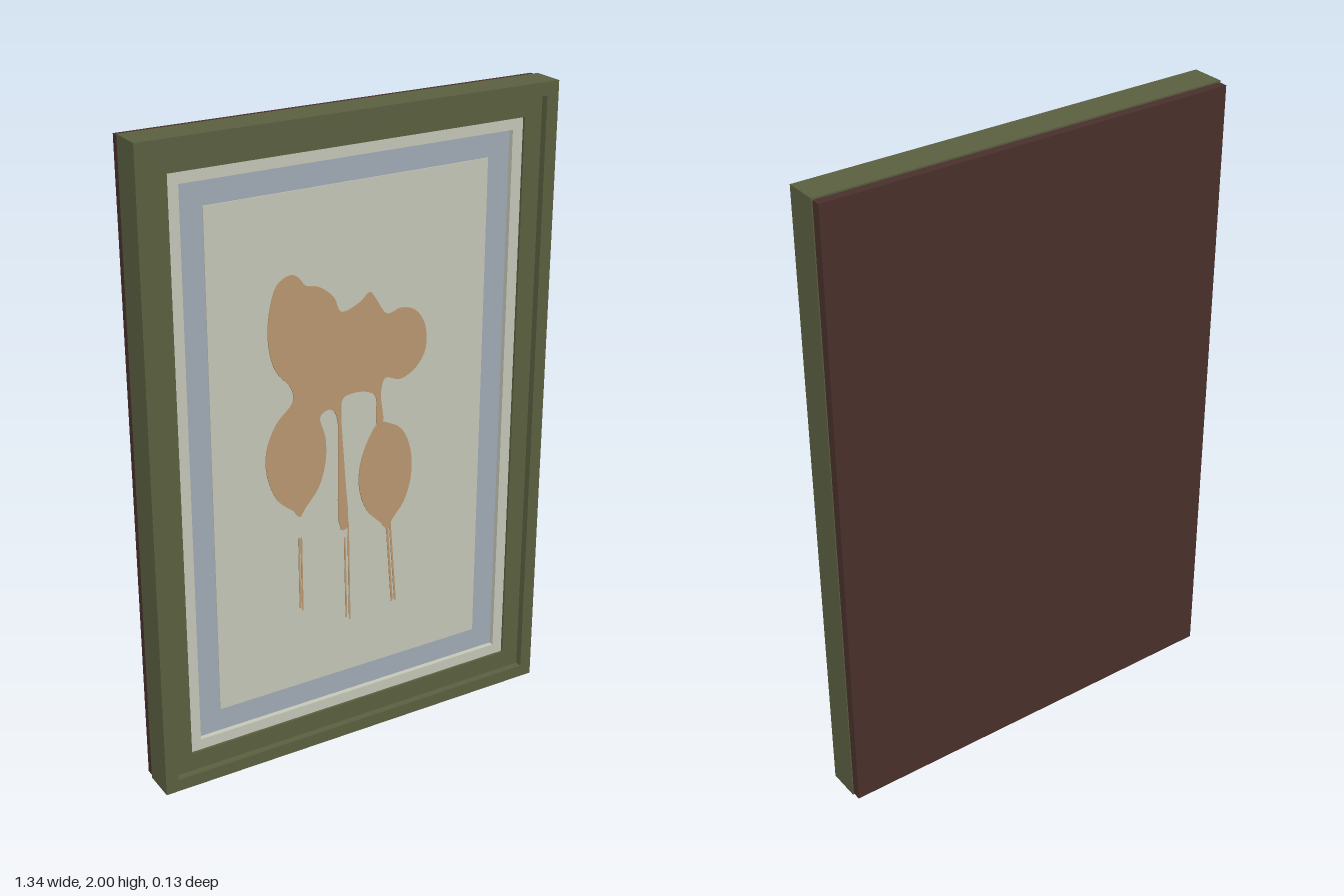
import * as THREE from 'three';

const W = 0.67, H = 1; // outer half width and half height of the frame

const paint = (name, color) => {
  const m = new THREE.MeshStandardMaterial({ color });
  m.name = name;
  return m;
};

const pts = list => list.map(([x, y]) => new THREE.Vector2(x, y));

// Flat shape extruded between two z levels
function slab(name, shape, zBack, zFront, material) {
  const geo = new THREE.ExtrudeGeometry(shape, { depth: zFront - zBack, bevelEnabled: false, curveSegments: 1 });
  const mesh = new THREE.Mesh(geo, material);
  mesh.name = name;
  mesh.position.z = zBack;
  return mesh;
}

// Rectangular ring of four mitred bars, between two insets from the outer edge
function mitredRing(name, inset0, inset1, zBack, zFront, material) {
  const ring = new THREE.Group();
  ring.name = name;
  const corners = d => [[-W + d, -H + d], [W - d, -H + d], [W - d, H - d], [-W + d, H - d]];
  const outer = corners(inset0), inner = corners(inset1);
  ['Bottom', 'Right', 'Top', 'Left'].forEach((side, i) => {
    const j = (i + 1) % 4;
    const shape = new THREE.Shape(pts([outer[i], outer[j], inner[j], inner[i]]));
    ring.add(slab(name + side, shape, zBack, zFront, material));
  });
  ring.position.y = H;
  return ring;
}

function panel(name, w, h, zBack, zFront, material) {
  const mesh = new THREE.Mesh(new THREE.BoxGeometry(w, h, zFront - zBack), material);
  mesh.name = name;
  mesh.position.set(0, H, (zBack + zFront) / 2);
  return mesh;
}

// Closed smooth outline through a few points
function blob(points) {
  const curve = new THREE.CatmullRomCurve3(points.map(([x, y]) => new THREE.Vector3(x, y, 0)), true, 'centripetal');
  return new THREE.Shape(curve.getPoints(points.length * 4).slice(0, -1).map(p => new THREE.Vector2(p.x, p.y)));
}

export function createModel() {
  const model = new THREE.Group();
  model.name = 'framedPicture';
  const olive = paint('olive frame', 0x5c6141);
  const brown = paint('brown backing', 0x4b322d);
  const cream = paint('cream paper', 0xc8cabb);
  const blue = paint('blue grey mat', 0xa4afb8);
  const tan = paint('tan print', 0xbd9a72);

  // Stepped frame and inner liner
  model.add(mitredRing('frameRim', 0, 0.04, -0.038, 0.067, olive));
  model.add(mitredRing('frameStep', 0.04, 0.1, -0.038, 0.044, olive));
  model.add(mitredRing('liner', 0.1, 0.135, -0.038, 0.036, cream));

  // Backing, mat and paper
  model.add(panel('backing', 1.334, 1.99, -0.067, -0.038, brown));
  model.add(panel('mat', 1.07, 1.73, -0.038, 0.02, blue));
  model.add(panel('paper', 0.92, 1.58, 0.018, 0.023, cream));

  // Printed flowers
  const art = new THREE.Group();
  art.name = 'flowerPrint';
  const z0 = 0.022, z1 = 0.026;
  const blooms = blob([
    [-0.2, 1.55], [-0.24, 1.53], [-0.268, 1.45], [-0.272, 1.35], [-0.25, 1.27], [-0.2, 1.205], [-0.197, 1.165],
    [-0.25, 1.11], [-0.285, 1.03], [-0.285, 0.95], [-0.25, 0.86], [-0.2, 0.815], [-0.178, 0.79],
    [-0.16, 0.815], [-0.115, 0.87], [-0.09, 0.95], [-0.09, 1.03], [-0.107, 1.1], [-0.075, 1.115],
    [-0.052, 1.09], [-0.046, 0.95], [-0.037, 0.71], [-0.018, 0.71], [-0.024, 0.9], [-0.036, 1.1], [-0.03, 1.14],
    [0.01, 1.15], [0.06, 1.14], [0.083, 1.12], [0.088, 1.03], [0.107, 1.03], [0.1, 1.13], [0.115, 1.175],
    [0.165, 1.16], [0.22, 1.185], [0.255, 1.24], [0.25, 1.32], [0.215, 1.37], [0.165, 1.385], [0.12, 1.375],
    [0.08, 1.43], [0.06, 1.453], [0.03, 1.43], [-0.035, 1.41], [-0.06, 1.46], [-0.11, 1.5], [-0.15, 1.51], [-0.175, 1.54],
  ]);
  const lowerBud = blob([
    [0.095, 1.035], [0.06, 0.99], [0.03, 0.91], [0.027, 0.83], [0.055, 0.75], [0.1, 0.7], [0.128, 0.67],
    [0.145, 0.7], [0.185, 0.75], [0.21, 0.83], [0.207, 0.92], [0.175, 0.995], [0.13, 1.025],
  ]);
  art.add(slab('blooms', blooms, z0, z1, tan));
  art.add(slab('lowerBud', lowerBud, z0, z1, tan));

  // Thin stem strokes: top x, top y, bottom x, bottom y, width
  [
    [-0.182, 0.72, -0.18, 0.48, 0.005], [-0.174, 0.72, -0.172, 0.47, 0.005],
    [-0.024, 0.68, -0.018, 0.4, 0.005], [-0.012, 0.73, -0.006, 0.39, 0.005],
    [0.125, 0.7, 0.147, 0.41, 0.007], [0.136, 0.7, 0.159, 0.41, 0.006],
  ].forEach(([xt, yt, xb, yb, w]) => {
    const h = w / 2;
    const shape = new THREE.Shape(pts([[xb - h, yb], [xb + h, yb], [xt + h, yt], [xt - h, yt]]));
    art.add(slab('stem', shape, z0, z1 - 0.001, tan));
  });
  model.add(art);
  return model;
}
